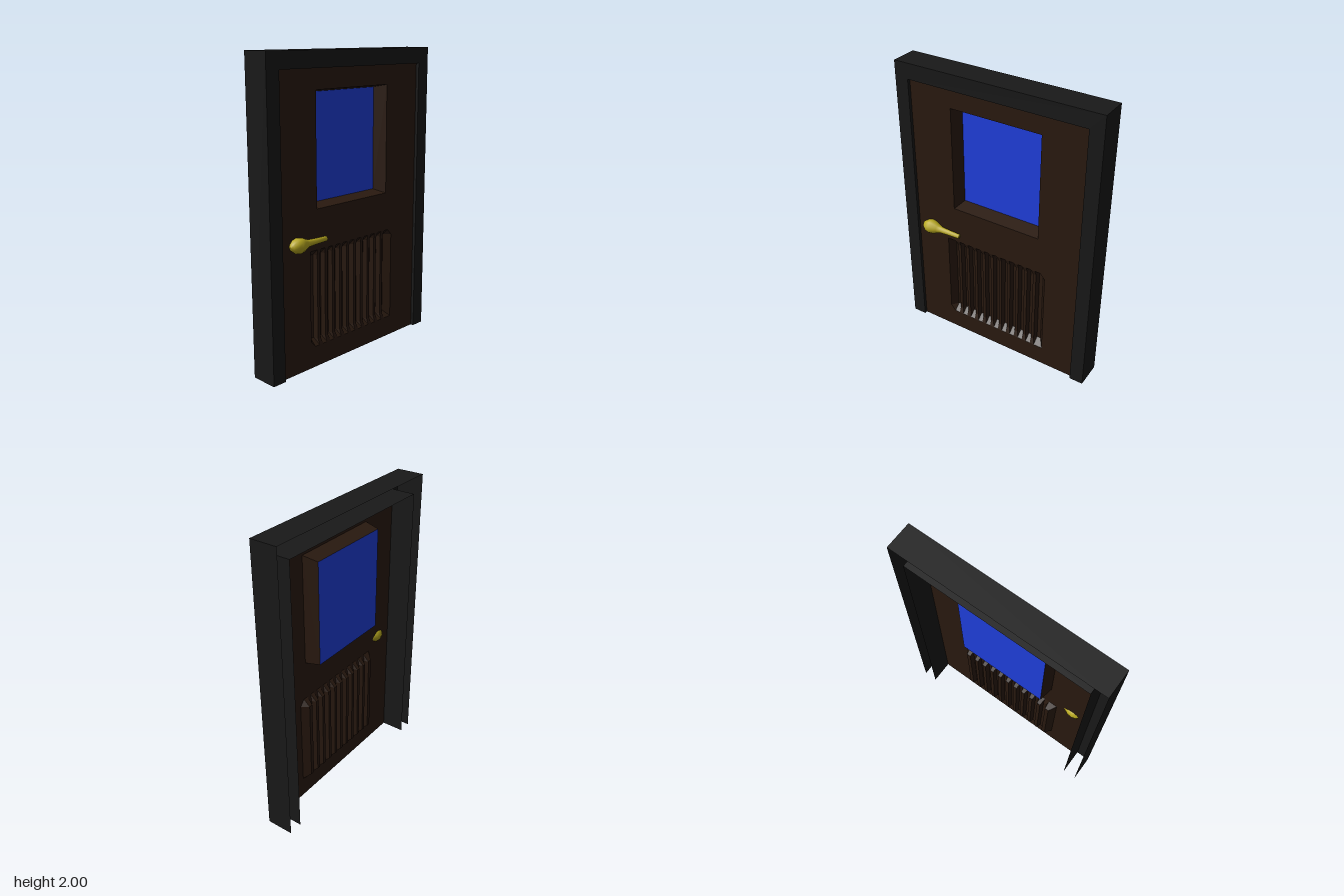
import * as THREE from 'three';

const FRONT = 0.065, BACK = -0.12, DOOR_Z = 0.043, GLASS_Z = -0.06;
const mat = (color, extra = {}) =>
  new THREE.MeshStandardMaterial({ color, side: THREE.DoubleSide, ...extra });

// Surface through equal-length rows of [x, y, z] points, with hard edges
function loft(rows) {
  const pos = [], index = [], n = rows[0].length;
  rows.forEach((row) => row.forEach((p) => pos.push(...p)));
  for (let r = 0; r < rows.length - 1; r++) {
    for (let c = 0; c < n - 1; c++) {
      const a = r * n + c, b = a + 1, d = a + n, e = d + 1;
      index.push(a, b, d, b, e, d);
    }
  }
  const g = new THREE.BufferGeometry();
  g.setAttribute('position', new THREE.Float32BufferAttribute(pos, 3));
  g.setIndex(index);
  const flat = g.toNonIndexed();
  flat.computeVertexNormals();
  return flat;
}

const path = (pts, Kind = THREE.Shape) => new Kind(pts.map(([x, y]) => new THREE.Vector2(x, y)));
const rect = (w, y0, y1) => [[-w, y0], [w, y0], [w, y1], [-w, y1]];
const atZ = (pts, z) => pts.map(([x, y]) => [x, y, z]);

export function createModel() {
  const model = new THREE.Group();
  const frameMat = mat(0x191919);
  const doorMat = mat(0x2a1a10);

  const add = (parent, name, geometry, material) => {
    const mesh = new THREE.Mesh(geometry, material);
    mesh.name = name;
    parent.add(mesh);
    return mesh;
  };

  // Door frame: hollow casing, open at the back and underneath
  const frame = new THREE.Group();
  frame.name = 'doorFrame';
  model.add(frame);
  const outer = [[-0.715, 0], [-0.715, 2], [0.715, 2], [0.715, 0]];
  const inner = [[-0.62, 0], [-0.62, 1.895], [0.62, 1.895], [0.62, 0]];
  const face = new THREE.ShapeGeometry(path([...outer, ...[...inner].reverse()]));
  add(frame, 'frameFace', face.translate(0, 0, FRONT), frameMat);
  add(frame, 'outerWalls', loft([atZ(outer, FRONT), atZ(outer, BACK)]), frameMat);
  add(frame, 'innerJambs', loft([atZ(inner, FRONT), atZ(inner, BACK)]), frameMat);

  // Door leaf: thin sheet with openings for the window and the ribbed panel
  const opening = rect(0.32, 1.042, 1.767);
  const leaf = path(rect(0.62, 0, 1.895));
  leaf.holes.push(path(opening, THREE.Path), path(rect(0.38, 0.14, 0.78), THREE.Path));
  add(model, 'doorLeaf', new THREE.ShapeGeometry(leaf).translate(0, 0, DOOR_Z), doorMat);

  // Window: slightly tapering deep surround with the pane at its back
  const pane = rect(0.304, 1.058, 1.748);
  const loop = (pts, z) => atZ([...pts, pts[0]], z);
  add(model, 'windowSurround', loft([loop(opening, DOOR_Z), loop(pane, GLASS_Z)]), doorMat);
  add(model, 'windowPane',
    new THREE.ShapeGeometry(path(pane)).translate(0, 0, GLASS_Z), mat(0x2040e0));

  // Ribbed lower panel: bevelled recess filled with upright ridges
  const columns = [[-0.38, 0], [-0.345, 0.045]];
  const ribs = 10, pitch = 0.066;
  for (let i = 0; i < ribs; i++) {
    const x = -0.33 + i * pitch;
    columns.push([x + 0.012, 0.045], [x + 0.022, 0.015], [x + 0.044, 0.015], [x + 0.054, 0.045]);
  }
  columns.push([0.345, 0.045], [0.38, 0]);
  const panelRows = [[0.14, 0], [0.18, 1], [0.74, 1], [0.78, 0]].map(([y, k]) =>
    columns.map(([x, depth]) => [x, y, DOOR_Z - depth * k]));
  add(model, 'ribbedPanel', loft(panelRows), doorMat);

  // Handle: round knob running into a tapered lever
  const profile = [
    [0, -0.565], [0.024, -0.555], [0.042, -0.532], [0.05, -0.502], [0.045, -0.472],
    [0.032, -0.445], [0.023, -0.42], [0.019, -0.36], [0.016, -0.27], [0, -0.27],
  ].map(([r, x]) => new THREE.Vector2(r, x));
  const handle = add(model, 'handle', new THREE.LatheGeometry(profile, 12), mat(0xb8a820));
  handle.rotation.z = -Math.PI / 2;
  handle.position.set(0, 0.85, 0.07);

  return model;
}
